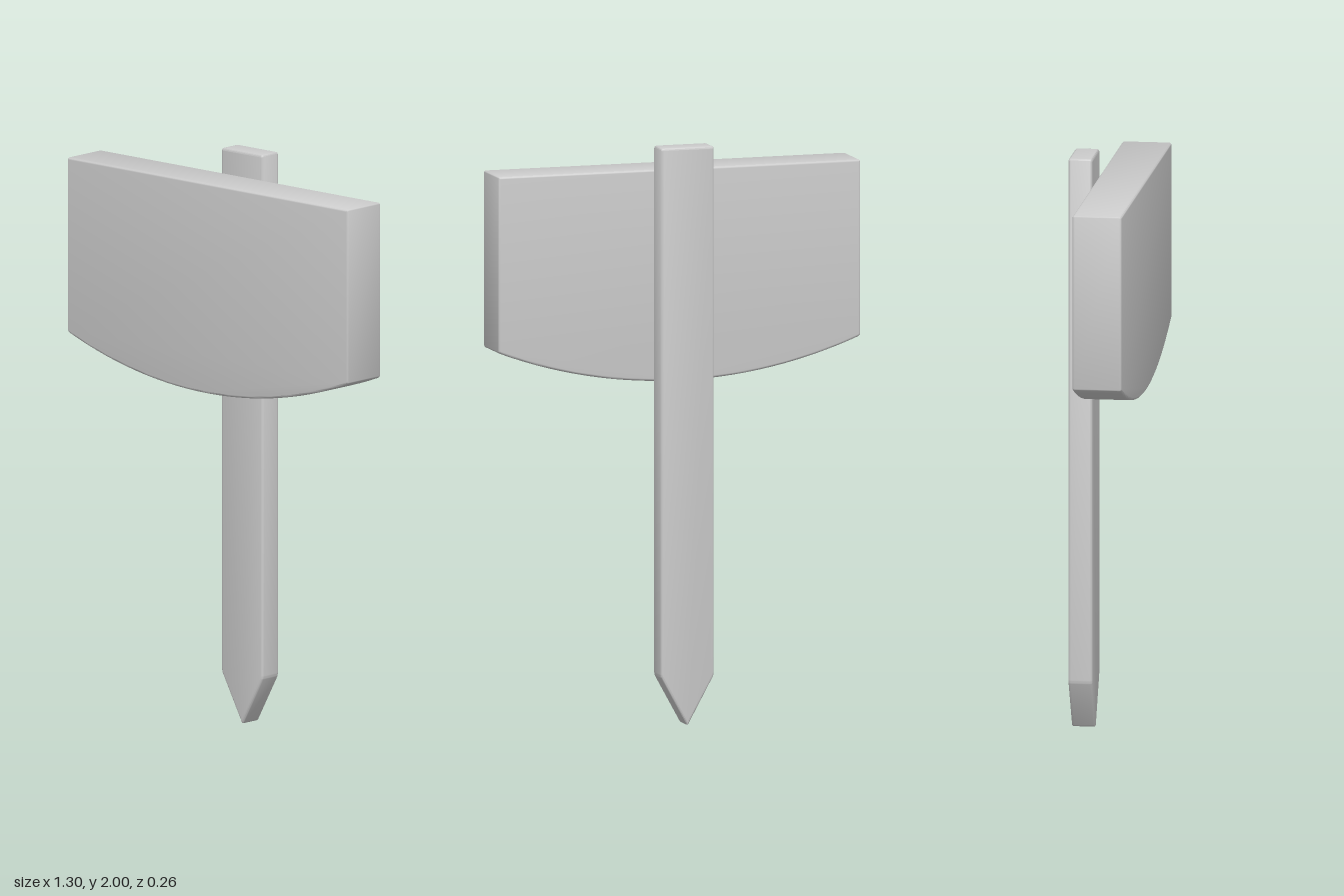
import * as THREE from 'three';
import { toCreasedNormals } from 'three/addons/utils/BufferGeometryUtils.js';

const BEVEL = 0.008;

// Closed outline through [x, y] points, with sharp corners softened by a small radius
function softOutline(points, radius = 0.01) {
  const pts = points.map(([x, y]) => new THREE.Vector2(x, y));
  const shape = new THREE.Shape();
  pts.forEach((p, i) => {
    const toPrev = pts.at(i - 1).clone().sub(p).normalize();
    const toNext = pts[(i + 1) % pts.length].clone().sub(p).normalize();
    const a = p.clone().addScaledVector(toPrev, radius);
    const b = p.clone().addScaledVector(toNext, radius);
    const nearlyStraight = toPrev.dot(toNext) < -0.98;
    const start = nearlyStraight ? p : a;
    if (i === 0) shape.moveTo(start.x, start.y);
    else shape.lineTo(start.x, start.y);
    if (!nearlyStraight) shape.quadraticCurveTo(p.x, p.y, b.x, b.y);
  });
  shape.closePath();
  return shape;
}

// Plank of the given outline between two depths, with eased edges
function plank(name, points, zBack, zFront) {
  const geometry = new THREE.ExtrudeGeometry(softOutline(points), {
    depth: zFront - zBack - 2 * BEVEL,
    bevelSize: BEVEL,
    bevelThickness: BEVEL,
    bevelOffset: -BEVEL,
    bevelSegments: 3,
    curveSegments: 4,
  });
  geometry.translate(0, 0, zBack + BEVEL);
  const mesh = new THREE.Mesh(
    toCreasedNormals(geometry, 0.6),
    new THREE.MeshStandardMaterial({ color: 0xcccccc })
  );
  mesh.name = name;
  return mesh;
}

export function createModel() {
  const group = new THREE.Group();
  group.name = 'signpost';

  // Post with a pointed foot
  const w = 0.096;
  group.add(plank('post', [[0, -0.004], [w, 0.17], [w, 2], [-w, 2], [-w, 0.17]], -0.129, -0.046));

  // Board with a curved lower edge
  const half = 0.652, top = 1.915, corner = 1.305, low = 1.18;
  const sag = corner - low;
  const R = (half * half + sag * sag) / (2 * sag);
  const sweep = Math.asin(half / R);
  const board = [[half, top], [-half, top]];
  const steps = 28;
  for (let i = 0; i <= steps; i++) {
    const t = sweep * (2 * i / steps - 1);
    board.push([R * Math.sin(t), low + R * (1 - Math.cos(t))]);
  }
  group.add(plank('board', board, -0.041, 0.129));

  return group;
}
